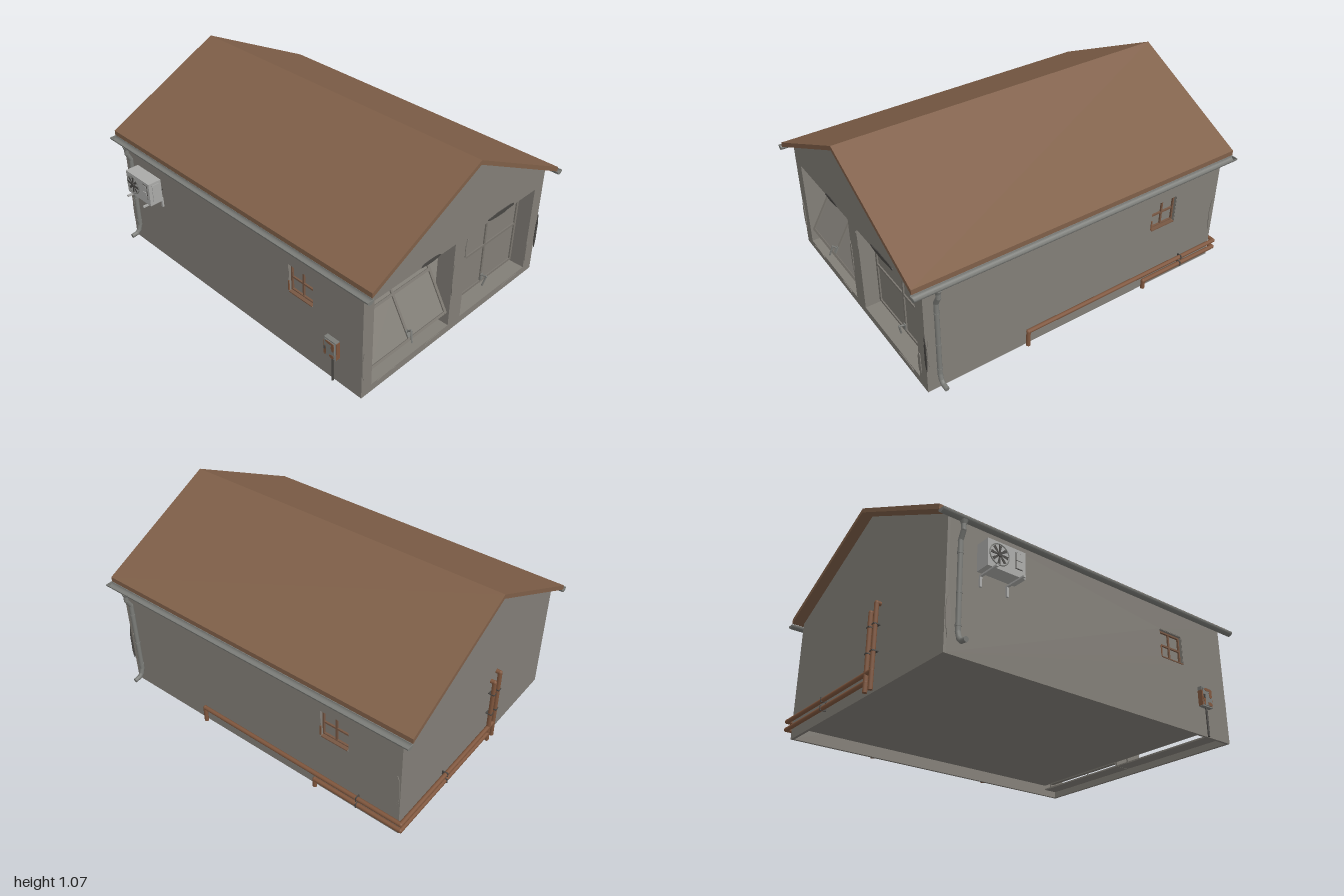
import * as THREE from 'three';

const mat = (name, color) => {
  const m = new THREE.MeshStandardMaterial({ color });
  m.name = name;
  return m;
};

export function createModel() {
  const model = new THREE.Group();
  model.name = 'garage';
  const wall = mat('plaster', 0x827e77);
  const roofMat = mat('roofBrown', 0x7f5f48);
  const rust = mat('rust', 0x7f563d);
  const wood = mat('windowWood', 0x775743);
  const metal = mat('zinc', 0x7b7c78);
  const light = mat('lightGrey', 0xaaaaa8);
  const dark = mat('darkGrey', 0x484643);
  const frameMat = mat('doorFrame', 0x7a766f);

  let parent = model;
  const add = (name, geo, m) => {
    const mesh = new THREE.Mesh(geo, m);
    mesh.name = name;
    parent.add(mesh);
    return mesh;
  };
  const group = (name) => {
    const g = new THREE.Group();
    g.name = name;
    model.add(g);
    parent = g;
    return g;
  };
  const box = (name, m, x0, x1, y0, y1, z0, z1) => {
    const b = add(name, new THREE.BoxGeometry(x1 - x0, y1 - y0, z1 - z0), m);
    b.position.set((x0 + x1) / 2, (y0 + y1) / 2, (z0 + z1) / 2);
    return b;
  };
  const V = (a) => new THREE.Vector3(...a);
  const poly = (pts) => new THREE.Shape(pts.map((p) => new THREE.Vector2(p[0], p[1])));
  const rect = (a, b, c, d) => poly([[a, c], [b, c], [b, d], [a, d]]);
  const extrude = (shape, depth) => new THREE.ExtrudeGeometry(shape, { depth, bevelEnabled: false, curveSegments: 10 });
  // Shapes drawn as (-z, y), extruded from x0 to x1
  const alongX = (name, m, shape, x0, x1) => {
    const e = add(name, extrude(shape, x1 - x0).rotateY(Math.PI / 2), m);
    e.position.x = x0;
    return e;
  };
  // Pipe run: straight lengths with round elbows
  const pipe = (name, m, r, pts) => {
    const v = pts.map(V);
    for (let i = 1; i < v.length; i++) {
      const d = v[i].clone().sub(v[i - 1]);
      const c = add(name, new THREE.CylinderGeometry(r, r, d.length(), 10), m);
      c.position.copy(v[i]).add(v[i - 1]).multiplyScalar(0.5);
      c.quaternion.setFromUnitVectors(new THREE.Vector3(0, 1, 0), d.normalize());
      if (i < v.length - 1) add(name + 'Elbow', new THREE.SphereGeometry(r * 1.05, 10, 6), m).position.copy(v[i]);
    }
  };
  // Jagged patch outline
  let seed = 7;
  const rnd = () => (seed = (seed * 16807) % 2147483647) / 2147483647;
  const blob = (cx, cy, w, h) => {
    const pts = [];
    for (let i = 0; i < 14; i++) {
      const a = (i / 14) * Math.PI * 2, k = 0.7 + 0.3 * rnd();
      pts.push([cx + Math.cos(a) * w * 0.5 * k, cy + Math.sin(a) * h * 0.5 * k]);
    }
    return poly(pts);
  };

  // Outer shell
  const X0 = -0.94, X1 = 0.933, ZF = 0.68, ZB = -0.74, RZ = -0.032, T = 0.015;
  const gable = () => poly([[-ZF, 0], [-ZB, 0], [-ZB, 0.685], [-RZ, 1.04], [-ZF, 0.685]]);
  const doors = [[0.02, 0.61], [-0.665, -0.08]];
  group('walls');
  const rightGable = gable();
  doors.forEach(([a, b]) => rightGable.holes.push(rect(-b, -a, 0.045, 0.575)));
  alongX('doorWall', wall, rightGable, X1 - T, X1);
  alongX('plainGable', wall, gable(), X0, X0 + T);
  const sideWall = (name, z, wx) => {
    const s = rect(X0, X1, 0, 0.685);
    s.holes.push(rect(wx - 0.086, wx + 0.086, 0.374, 0.541));
    add(name, extrude(s, T), wall).position.z = z;
  };
  sideWall('frontWall', ZF - T, 0.52);
  sideWall('backWall', ZB, -0.545);
  box('floor', wall, X0 + T, X1 - 0.1, 0.065, 0.072, ZB + T, ZF - T);
  box('doorwayFloor', wall, X1 - 0.1, X1 - T, 0.037, 0.044, ZB + T, ZF - T);
  box('innerLining', light, X0 + T, X0 + T + 0.008, 0.03, 0.685, ZB + T, ZF - T);

  // Roof
  group('roof');
  alongX('roofSlab', roofMat, poly([[-0.695, 0.705], [-0.695, 0.677], [-RZ, 1.04], [0.76, 0.677],
    [0.76, 0.705], [-RZ, 1.065]]), -1, 0.994);

  // Gutters and downspouts, mirrored about the ridge line
  [1, -1].forEach((s) => {
    group(s > 0 ? 'frontGutter' : 'backGutter');
    const Z = (d) => RZ + s * d, gx = s > 0 ? -0.875 : 0.87, gz = s > 0 ? 0.711 : -0.778;
    const half = (hollow) => {
      const shape = new THREE.Shape();
      shape.absarc(-gz, 0.674, 0.021, Math.PI, 2 * Math.PI, false);
      if (hollow) shape.absarc(-gz, 0.674, 0.017, 2 * Math.PI, Math.PI, true);
      return shape;
    };
    alongX('gutterTrough', metal, half(true), -1, 1);
    alongX('gutterCap', metal, half(false), -1, -0.996);
    alongX('gutterCap', metal, half(false), 0.996, 1);
    add('funnel', new THREE.CylinderGeometry(0.02, 0.013, 0.02, 12), metal).position.set(gx, 0.648, gz);
    pipe('downspout', metal, 0.013, [[gx, 0.645, gz], [gx, 0.61, gz], [gx, 0.565, Z(0.722)],
      [gx, 0.11, Z(0.722)], [gx, 0.075, Z(0.733)], [gx, 0.058, Z(0.75)], [gx, 0.053, Z(0.785)]]);
    [0.5, 0.3, 0.14].forEach((y) => {
      add('pipeClamp', new THREE.CylinderGeometry(0.015, 0.015, 0.01, 10), metal).position.set(gx, y, Z(0.722));
    });
  });

  // Windows: wooden frames set back in plaster reveals
  [[0.52, ZF, 1], [-0.545, ZB, -1]].forEach(([x, z, s]) => {
    const g = group(s > 0 ? 'frontWindow' : 'backWindow');
    g.position.set(x, 0.4575, z);
    if (s < 0) g.rotation.y = Math.PI;
    const ring = (a, b, t) => {
      const r = rect(-a, a, -b, b);
      r.holes.push(rect(t - a, a - t, t - b, b - t));
      return r;
    };
    add('windowReveal', extrude(ring(0.09, 0.087, 0.006), 0.034), wall).position.z = -0.036;
    add('windowFrame', extrude(ring(0.086, 0.083, 0.011), 0.014), wood).position.z = -0.03;
    box('mullion', wood, -0.005, 0.005, -0.075, 0.075, -0.03, -0.018);
    box('transom', wood, -0.076, 0.076, -0.005, 0.005, -0.03, -0.018);
    box('pane', wall, -0.08, 0.08, -0.077, 0.077, -0.036, -0.027);
    box('rustyHinge', rust, -0.088, -0.08, -0.075, -0.015, -0.002, 0.003);
    box('sillEdge', wood, -0.08, 0.08, -0.084, -0.078, -0.03, 0.004);
  });

  // Garage doors: one closed in its recess, one tilted with its top inward
  doors.forEach(([a, b], i) => {
    group('doorRecess' + (i + 1));
    const ring = rect(-b - 0.012, -a + 0.012, 0.036, 0.587);
    ring.holes.push(rect(-b, -a, 0.045, 0.575));
    alongX('recessLining', wall, ring, X1 - 0.1, X1 - 0.002);
    const g = group('garageDoor' + (i + 1));
    const w = (b - a) / 2 - 0.003, h = 0.515;
    g.position.set(i ? 0.835 : 0.91, i ? 0.058 : 0.12, (a + b) / 2);
    g.rotation.z = i ? 0 : 0.515;
    box('doorPanel', wall, -0.006, 0.006, 0, h, -w, w);
    [[-w, -w + 0.016], [-0.007, 0.007], [w - 0.016, w]].forEach(([p, q]) =>
      box('doorStile', frameMat, -0.01, 0.014, 0, h, p, q));
    [[0, 0.014], [h / 2 - 0.007, h / 2 + 0.007], [h - 0.014, h]].forEach(([p, q]) =>
      box('doorRail', frameMat, -0.01, 0.0135, p, q, -w, w));
    box('latchPlate', metal, 0.014, 0.02, 0.02, 0.06, -0.01, 0.01);
    pipe('doorHandle', metal, 0.005, [[0.014, 0.05, 0], [0.05, 0.06, 0], [0.035, -0.005, 0.012]]);
  });

  // Outdoor air unit
  group('airUnit');
  box('unitCase', light, -0.79, -0.575, 0.43, 0.57, 0.70, 0.78);
  const fan = (name, geo, m, z) => add(name, geo, m).position.set(-0.727, 0.503, z);
  fan('fanWell', new THREE.CylinderGeometry(0.054, 0.054, 0.004, 24).rotateX(Math.PI / 2), light, 0.781);
  fan('fanRing', new THREE.TorusGeometry(0.054, 0.003, 6, 24), metal, 0.783);
  fan('fanHub', new THREE.CylinderGeometry(0.013, 0.013, 0.006, 12).rotateX(Math.PI / 2), dark, 0.786);
  for (let i = 0; i < 8; i++) {
    const blade = add('fanBlade', extrude(poly([[0.012, -0.004], [0.046, -0.012], [0.048, 0.004], [0.012, 0.004]]), 0.002), dark);
    blade.position.set(-0.727, 0.503, 0.783);
    blade.rotation.z = (i * Math.PI) / 4;
  }
  box('servicePanel', dark, -0.634, -0.594, 0.467, 0.553, 0.779, 0.782);
  [[0.47, 0.507], [0.511, 0.55]].forEach(([p, q]) => box('serviceCover', light, -0.631, -0.597, p, q, 0.78, 0.785));
  box('sidePanel', light, -0.577, -0.571, 0.45, 0.555, 0.715, 0.76);
  [-0.758, -0.605].forEach((x) => {
    box('bracketArm', light, x - 0.006, x + 0.006, 0.421, 0.43, ZF, 0.81);
    box('bracketPost', light, x - 0.006, x + 0.006, 0.37, 0.43, ZF, ZF + 0.01);
  });
  pipe('unitHose', dark, 0.008, [[-0.6, 0.49, 0.705], [-0.6, 0.49, ZF]]);

  // Electrical box with conduit
  group('meterBox');
  box('meterCase', metal, 0.705, 0.785, 0.16, 0.272, ZF, 0.706);
  box('meterLid', metal, 0.711, 0.779, 0.167, 0.265, 0.706, 0.71);
  [[0.768, 0.238, 0.024, 0.06], [0.718, 0.2, 0.018, 0.07], [0.745, 0.257, 0.07, 0.018],
    [0.762, 0.178, 0.04, 0.024]].forEach((p) => {
    add('rustSpot', extrude(blob(...p), 0.002), rust).position.z = 0.71;
  });
  box('rustySide', rust, 0.785, 0.788, 0.165, 0.268, ZF, 0.705);
  box('rustyEdge', rust, 0.703, 0.711, 0.165, 0.25, ZF, 0.708);
  box('meterLatch', dark, 0.713, 0.721, 0.205, 0.225, 0.71, 0.716);
  pipe('conduit', dark, 0.006, [[0.75, 0.165, 0.69], [0.75, 0.0, 0.69]]);

  // Rusty pipes wrapping the back corner
  group('rustyPipes');
  [[0.35, 0.1, 0.125, 0.455], [-0.43, 0.055, 0.075, 0.42]].forEach(([x, y, z, top]) => {
    const px = -0.962, pz = -0.758;
    pipe('rustyPipe', rust, 0.012, [[x, 0.005, pz], [x, y, pz], [px, y, pz], [px, y, z], [px, top, z], [X0, top, z]]);
    pipe('groundPipe', rust, 0.012, [[px, y, z], [px, 0.003, z]]);
    [0.34, 0.2].forEach((cy) => box('pipeClamp', dark, px - 0.013, X0, cy - 0.003, cy + 0.003, z - 0.013, z + 0.013));
    box('pipeClamp', dark, -0.703, -0.697, y - 0.013, y + 0.013, pz - 0.013, ZB);
    box('pipeClamp', dark, px - 0.013, X0, y - 0.013, y + 0.013, -0.356, -0.35);
  });

  // Chipped plaster round the doors and at the corners: z, y, width, height
  group('chippedPlaster');
  [[0.21, 0.583, 0.17, 0.024], [-0.35, 0.585, 0.27, 0.028], [-0.742, 0.26, 0.022, 0.24]].forEach(([z, y, w, h]) =>
    alongX('darkChip', dark, blob(-z, y, w, h), X1, X1 + 0.004));
  [[0.15, 0.034, 0.14, 0.022], [0.5, 0.04, 0.14, 0.02], [-0.53, 0.033, 0.16, 0.022], [0.014, 0.34, 0.018, 0.22],
    [-0.675, 0.15, 0.03, 0.16], [-0.075, 0.5, 0.022, 0.14], [0.668, 0.2, 0.026, 0.2]].forEach(([z, y, w, h]) =>
    alongX('plasterChip', wall, blob(-z, y, w, h), X1, X1 + 0.004));
  [[X0 + 0.018, 0.17, ZF], [X1 - 0.018, 0.26, ZB - 0.004], [X0 + 0.018, 0.3, ZB - 0.004]].forEach(([x, y, z]) => {
    add('cornerChip', extrude(blob(x, y, 0.032, 0.22), 0.004), wall).position.z = z;
  });
  return model;
}
